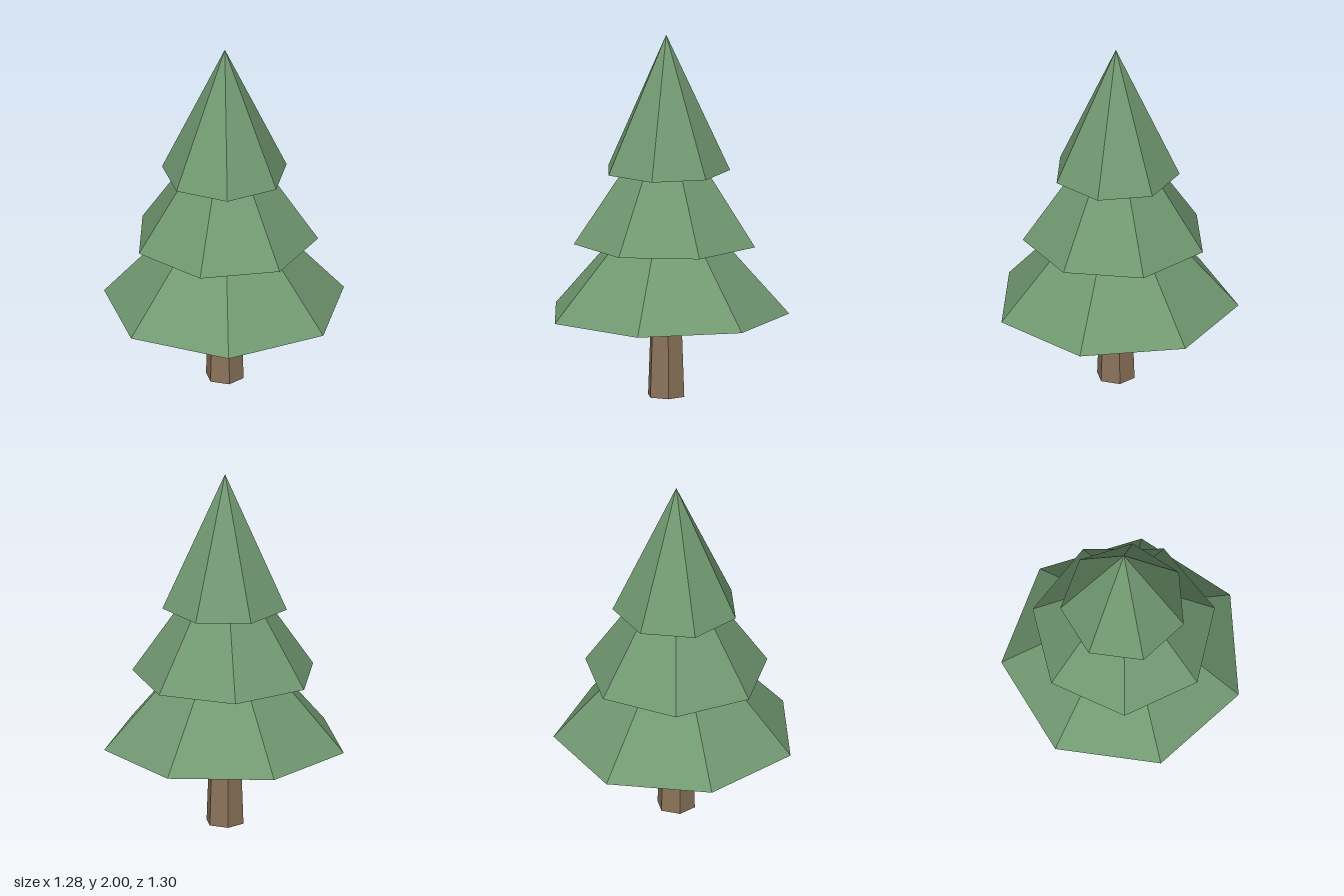
import * as THREE from 'three';

export function createModel() {
  const tree = new THREE.Group();
  tree.name = 'pineTree';

  const foliage = new THREE.MeshStandardMaterial({ color: 0x729a72 });
  foliage.name = 'foliage green';
  foliage.flatShading = true;
  const bark = new THREE.MeshStandardMaterial({ color: 0x8b735b });
  bark.name = 'bark brown';
  bark.flatShading = true;

  // The whole tree shares one vertical axis, slightly off the origin
  const axisX = 0.024, axisZ = -0.01;

  function addPart(name, geometry, material, baseY, height) {
    const mesh = new THREE.Mesh(geometry, material);
    mesh.name = name;
    mesh.position.set(axisX, baseY + height / 2, axisZ);
    tree.add(mesh);
  }

  // Tapered six-sided trunk, its top hidden in the lowest tier
  addPart('trunk', new THREE.CylinderGeometry(0.088, 0.107, 0.5, 6, 1, false, Math.PI / 2), bark, 0, 0.5);

  // Three seven-sided cones, each twisted a little differently
  const tiers = [
    { name: 'lowerBranches', radius: 0.668, baseY: 0.455, twist: 0.172 },
    { name: 'middleBranches', radius: 0.507, baseY: 0.853, twist: -0.127 },
    { name: 'topBranches', radius: 0.347, baseY: 1.25, twist: 0.18 },
  ];
  const tierHeight = 0.75;
  for (const { name, radius, baseY, twist } of tiers) {
    addPart(name, new THREE.ConeGeometry(radius, tierHeight, 7, 1, false, twist), foliage, baseY, tierHeight);
  }

  return tree;
}
